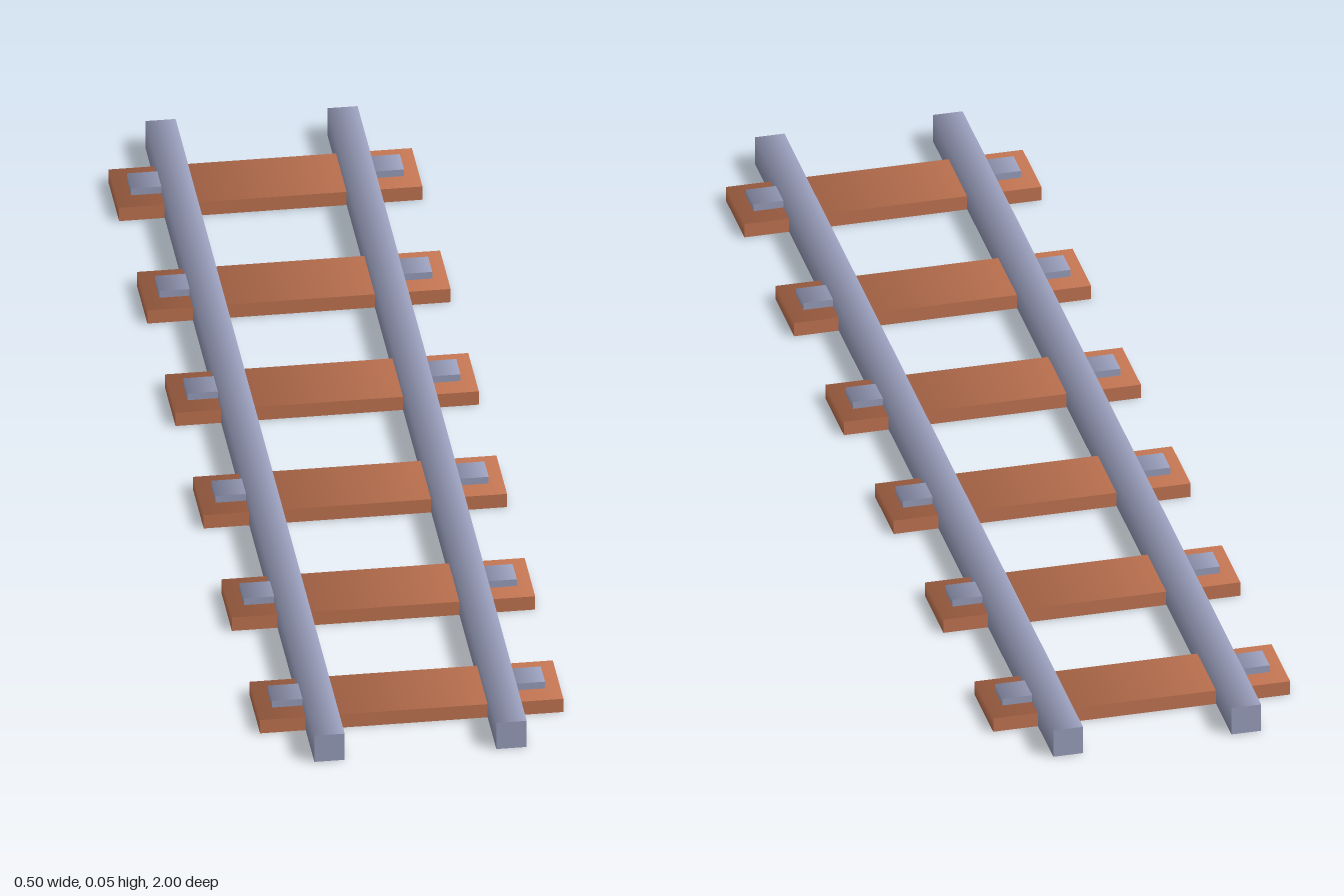
import * as THREE from 'three';

// Box whose long top edges (at -x and +x) are softly shaded; all other edges stay sharp.
function softBox(width, height, depth) {
  const geo = new THREE.BoxGeometry(width, height, depth);
  const pos = geo.attributes.position;
  const nor = geo.attributes.normal;
  for (let i = 0; i < pos.count; i++) {
    const endOrBottom = Math.abs(nor.getZ(i)) > 0.5 || nor.getY(i) < -0.5;
    if (pos.getY(i) > 0 && !endOrBottom) {
      nor.setXYZ(i, Math.sign(pos.getX(i)) * Math.SQRT1_2, Math.SQRT1_2, 0);
    }
  }
  return geo;
}

export function createModel() {
  const track = new THREE.Group();
  track.name = 'railTrack';

  const wood = new THREE.MeshStandardMaterial({ color: 0xc47653 });
  wood.name = 'wood';
  const steel = new THREE.MeshStandardMaterial({ color: 0x9da2c0 });
  steel.name = 'steel';

  const add = (name, geo, mat, x, y, z) => {
    const mesh = new THREE.Mesh(geo, mat);
    mesh.name = name;
    mesh.position.set(x, y, z);
    track.add(mesh);
  };

  // Rails, a hair above the sleepers' underside so the faces do not coincide
  const railGeo = softBox(0.05, 0.0495, 2);
  add('leftRail', railGeo, steel, 0.15, 0.02525, 0);
  add('rightRail', railGeo, steel, -0.15, 0.02525, 0);

  // Six evenly spaced sleepers, each with a fastening plate outside either rail
  const sleeperGeo = softBox(0.5, 0.025, 0.125);
  const plateGeo = softBox(0.075, 0.0175, 0.05);
  for (let i = 0; i < 6; i++) {
    const z = (i - 2.5) / 3;
    add('sleeper', sleeperGeo, wood, 0, 0.0125, z);
    add('leftFasteningPlate', plateGeo, steel, 0.1875, 0.02875, z);
    add('rightFasteningPlate', plateGeo, steel, -0.1875, 0.02875, z);
  }

  return track;
}
